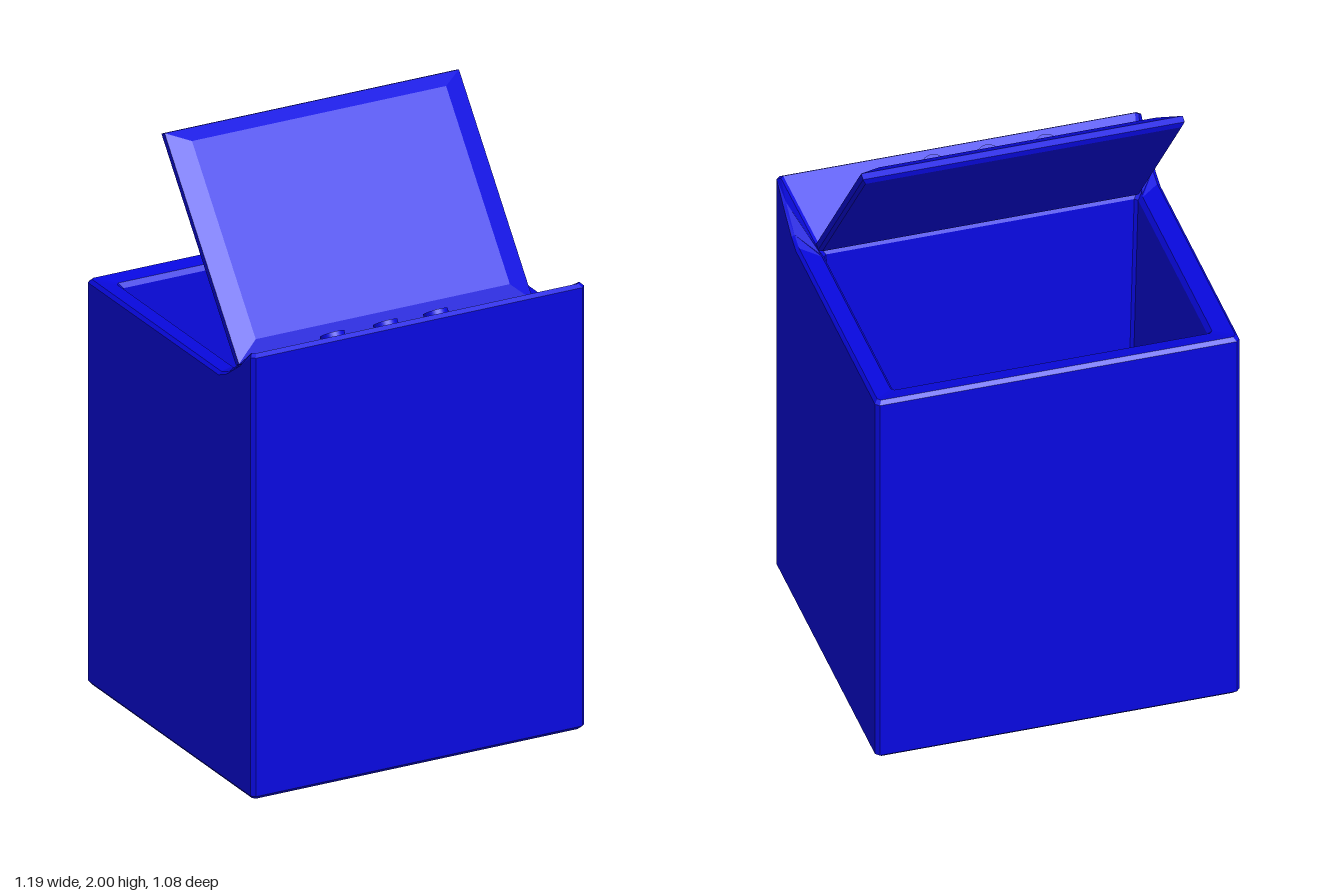
import * as THREE from 'three';

// Mirrored closed ring from the +x half, listed front to back as [x, y, z]
const ring = (half) => [
  ...half,
  ...half.slice().reverse().map(([x, y, z]) => [-x, y, z]),
];

// Skin over successive rings, closed at both ends
function loft(rings) {
  const pos = [];
  const tri = (a, b, c) => pos.push(...a, ...b, ...c);
  const n = rings[0].length;
  for (let r = 0; r < rings.length - 1; r++) {
    const a = rings[r], b = rings[r + 1];
    for (let i = 0; i < n; i++) {
      const j = (i + 1) % n;
      tri(a[i], a[j], b[j]);
      tri(a[i], b[j], b[i]);
    }
  }
  const first = rings[0], last = rings[rings.length - 1];
  for (let i = 1; i < n - 1; i++) {
    tri(first[0], first[i + 1], first[i]);
    tri(last[0], last[i], last[i + 1]);
  }
  const g = new THREE.BufferGeometry();
  g.setAttribute('position', new THREE.Float32BufferAttribute(pos, 3));
  g.computeVertexNormals();
  return g;
}

// Chamfered rectangular ring with three extra side points for the console;
// heights run front, console slope (three points), back
function cabinetRing(x, zFront, zBack, bevel, heights, knees) {
  const [yf, y1, y2, y3, yb] = heights;
  return ring([
    [x - bevel, yf, zFront],
    [x, yf, zFront - bevel],
    [x, y1, knees[0]],
    [x, y2, knees[1]],
    [x, y3, knees[2]],
    [x, yb, zBack + bevel],
    [x - bevel, yb, zBack],
  ]);
}
const level = (y) => [y, y, y, y, y];

export function createModel() {
  const model = new THREE.Group();
  const paint = new THREE.MeshStandardMaterial({ color: 0x0808e0, flatShading: true });
  const add = (name, geometry) => {
    const mesh = new THREE.Mesh(geometry, paint);
    mesh.name = name;
    model.add(mesh);
    return mesh;
  };

  // Cabinet: outer walls, raised sloping console, rim, tapered tub and its floor
  const knees = [0.46, 0.37, 0.32];
  const inner = [0.29, 0.28, 0.27];
  const tub = [0.22, 0.21, 0.2];
  add('cabinet', loft([
    cabinetRing(0.585, 0.525, -0.525, 0.01, level(0), knees),
    cabinetRing(0.597, 0.54, -0.54, 0.012, level(0.014), knees),
    cabinetRing(0.597, 0.54, -0.54, 0.012, [1.508, 1.455, 1.393, 1.372, 1.37], knees),
    cabinetRing(0.587, 0.525, -0.528, 0.01, [1.518, 1.463, 1.4, 1.382, 1.382], knees),
    cabinetRing(0.527, 0.31, -0.475, 0.01, level(1.372), inner),
    cabinetRing(0.515, 0.3, -0.465, 0.01, level(1.355), inner),
    cabinetRing(0.47, 0.25, -0.42, 0.01, level(0.15), tub),
  ]));

  // Lid: thin slab with bevelled upper face, hinged beside the console
  const lidRing = (x, start, end, y) => ring([[x, y, -start], [x, y, -end]]);
  const lid = add('lid', loft([
    lidRing(0.518, 0, 0.745, 0),
    lidRing(0.527, -0.015, 0.764, 0.01),
    lidRing(0.527, -0.017, 0.758, 0.032),
    lidRing(0.455, 0.045, 0.71, 0.054),
  ]));
  lid.position.set(0.005, 1.385, 0.28);
  lid.rotation.x = 0.9;

  // Control knobs on the console slope
  for (const x of [-0.27, -0.08, 0.1]) {
    const knob = add('knob', new THREE.CylinderGeometry(0.04, 0.04, 0.04, 32));
    knob.material = new THREE.MeshStandardMaterial({ color: 0x0808e0 });
    knob.position.set(x, 1.482, 0.474);
    knob.rotation.x = -0.58;
  }
  return model;
}
